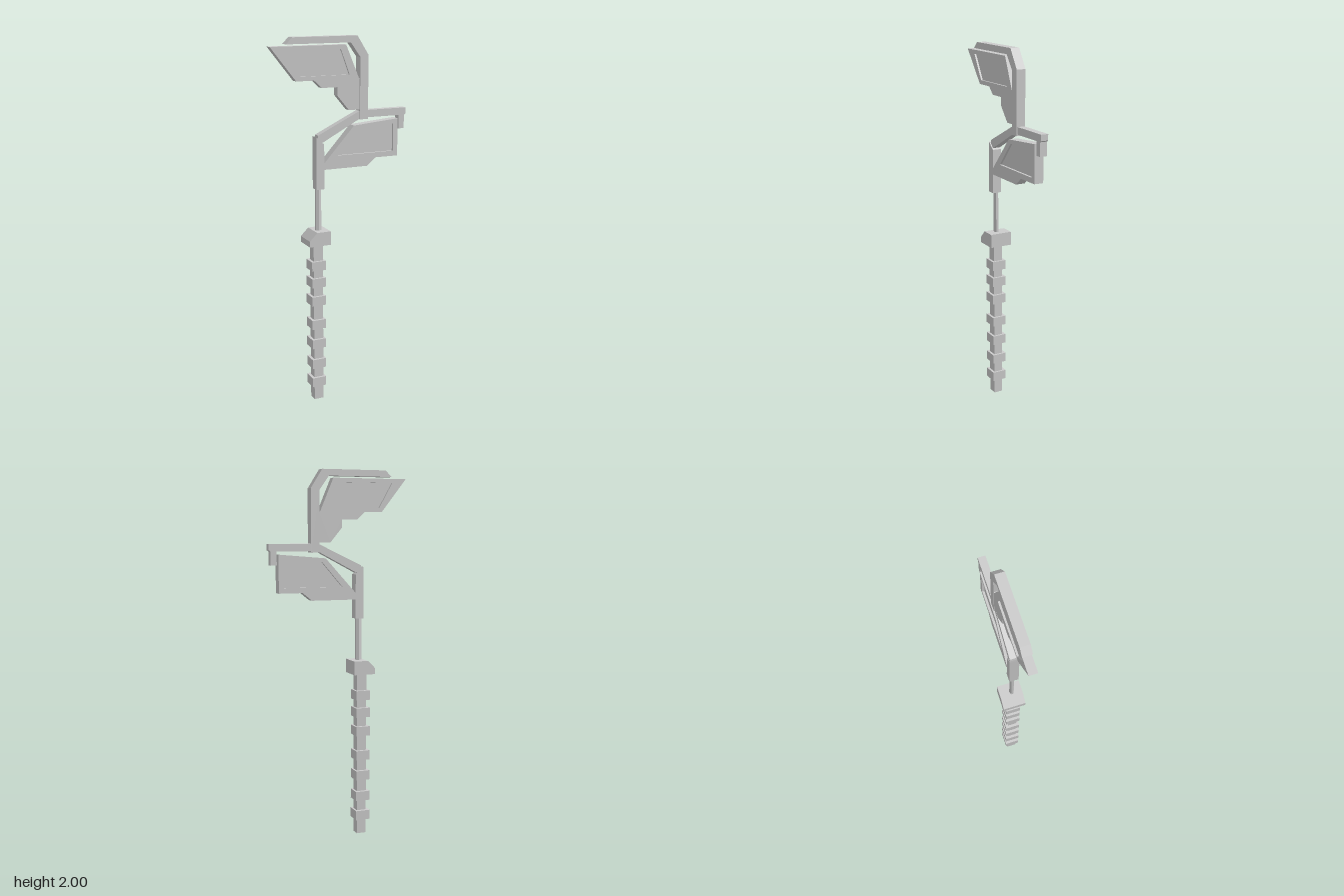
import * as THREE from 'three';

const grey = new THREE.MeshStandardMaterial({ color: 0xcccccc, flatShading: true });

export function createModel() {
  const group = new THREE.Group();

  const add = (name, geometry, x = 0, y = 0, z = 0) => {
    const mesh = new THREE.Mesh(geometry, grey);
    mesh.name = name;
    mesh.position.set(x, y, z);
    group.add(mesh);
    return mesh;
  };
  const toPoints = (list) => list.map(([x, y]) => new THREE.Vector2(x, y));

  // Flat plate with an outline in x/y, spanning z0 to z1
  const plate = (name, outline, z0, z1, hole) => {
    const shape = new THREE.Shape(toPoints(outline));
    if (hole) shape.holes.push(new THREE.Path(toPoints(hole)));
    return add(name, new THREE.ExtrudeGeometry(shape, { depth: z1 - z0, bevelEnabled: false }), 0, 0, z0);
  };
  // Raised rim around a field that is sunk on both faces
  const sunkPanel = (name, outline, field, z0, z1, sink) => {
    plate(name + 'Rim', outline, z0, z1, field);
    plate(name + 'Field', field, z0 + sink, z1 - sink);
  };

  // Square grip with raised bands
  const gripX = -0.132;
  add('grip', new THREE.BoxGeometry(0.054, 0.91, 0.05), gripX, 0.455, 0.002);
  for (const y of [0.108, 0.218, 0.336, 0.45, 0.586, 0.69, 0.786])
    add('gripBand', new THREE.BoxGeometry(0.08, 0.052, 0.08), gripX - 0.002, y, 0);

  // Guard with one chamfered edge
  plate('guard', [[-0.195, 0.905], [-0.073, 0.905], [-0.073, 0.98], [-0.152, 0.98], [-0.195, 0.937]], -0.062, 0.061);

  // Thin rod between guard and lower frame
  const rod = add('rod', new THREE.CylinderGeometry(0.018, 0.018, 0.24, 6), -0.122, 1.095, 0.005);
  rod.scale.z = 0.72;

  // Lower frame: post, sloping arm and hooked beam
  plate('lowerPost', [[-0.143, 1.208], [-0.098, 1.208], [-0.098, 1.447], [-0.143, 1.487]], -0.015, 0.035);
  plate('lowerArm', [
    [-0.14, 1.44], [-0.1, 1.458], [0.12, 1.573], [0.345, 1.573], [0.345, 1.5], [0.378, 1.5],
    [0.378, 1.573], [0.388, 1.58], [0.388, 1.612], [0.115, 1.612], [-0.13, 1.495],
  ], -0.011, 0.029);

  // Lower panel
  sunkPanel('lowerPanel',
    [[-0.098, 1.312], [0.153, 1.312], [0.205, 1.354], [0.337, 1.354], [0.337, 1.557], [0.075, 1.535], [-0.098, 1.346]],
    [[-0.02, 1.382], [0.31, 1.382], [0.31, 1.53], [0.095, 1.515]],
    -0.017, 0.035, 0.012);

  // Upper frame: post bending over into the top bar
  plate('upperFrame', [
    [0.11, 1.565], [0.157, 1.565], [0.157, 1.9], [0.093, 2], [-0.27, 2],
    [-0.305, 1.966], [0.055, 1.966], [0.11, 1.89],
  ], -0.015, 0.035);

  // Upper panel and the stepped bracket below it
  sunkPanel('upperPanel',
    [[-0.39, 1.956], [-0.25, 1.78], [0.105, 1.78], [0.03, 1.956]],
    [[-0.31, 1.934], [-0.235, 1.802], [0.05, 1.802], [0, 1.934]],
    -0.013, 0.031, 0.01);
  plate('upperBracket', [
    [-0.15, 1.78], [-0.108, 1.74], [-0.018, 1.74], [-0.018, 1.695],
    [0.048, 1.617], [0.112, 1.617], [0.112, 1.78],
  ], -0.013, 0.028);

  return group;
}
